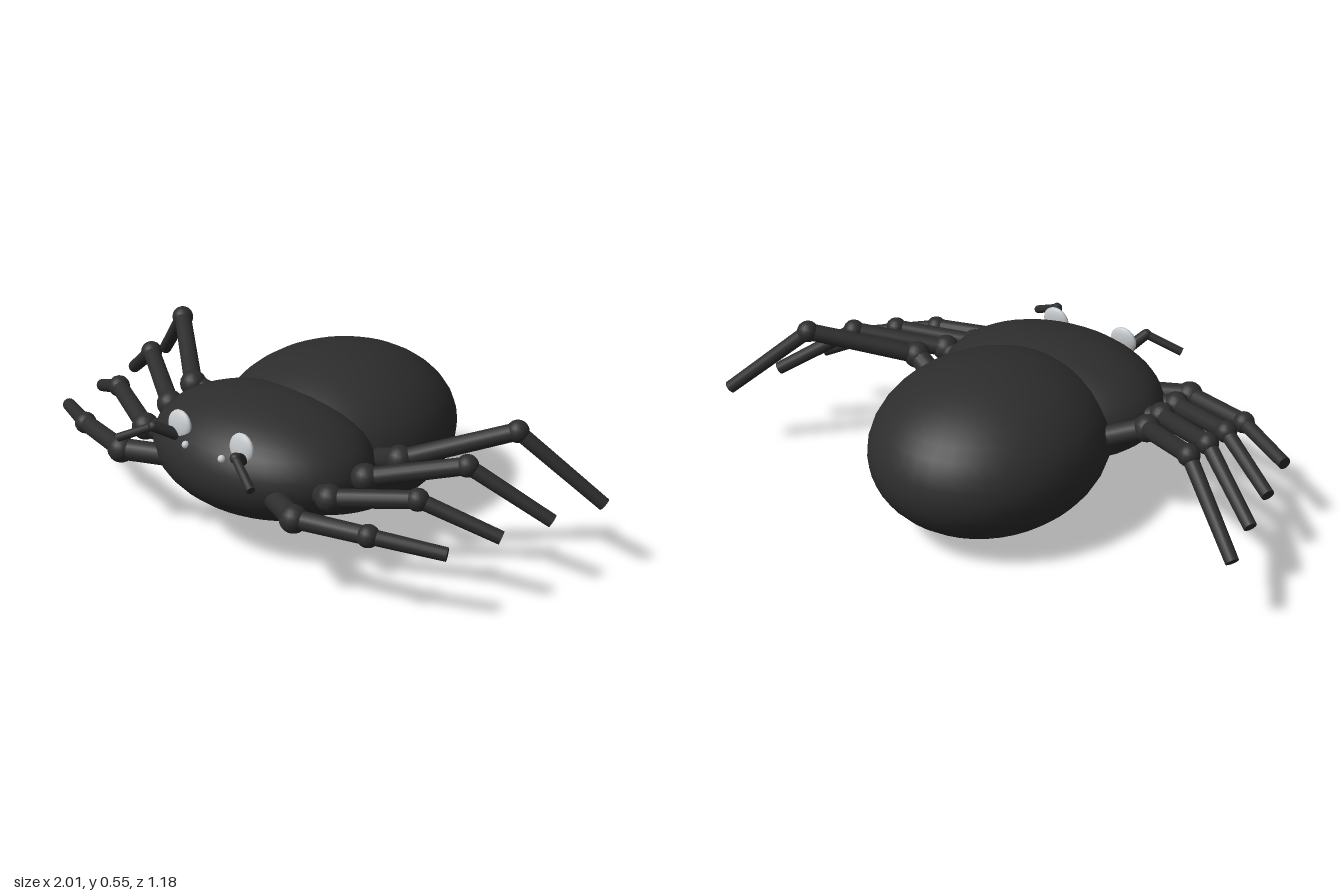
import * as THREE from 'three';

const black = new THREE.MeshStandardMaterial({ color: 0x2d2d2d });
black.name = 'body black';
const pale = new THREE.MeshStandardMaterial({ color: 0xc6cacd });
pale.name = 'eye grey';

// Ellipsoid with given centre and radii
function ellipsoid(name, center, radii, material, segments = 32) {
  const mesh = new THREE.Mesh(new THREE.SphereGeometry(1, segments, segments / 2), material);
  mesh.name = name;
  mesh.position.set(...center);
  mesh.scale.set(...radii);
  return mesh;
}

// Cylinder running from point a to point b
function rod(name, a, b, ra, rb = ra) {
  const start = new THREE.Vector3(...a);
  const end = new THREE.Vector3(...b);
  const dir = end.clone().sub(start);
  const mesh = new THREE.Mesh(new THREE.CylinderGeometry(rb, ra, dir.length(), 16), black);
  mesh.name = name;
  mesh.position.copy(start).add(end).multiplyScalar(0.5);
  mesh.quaternion.setFromUnitVectors(new THREE.Vector3(0, 1, 0), dir.normalize());
  return mesh;
}

// hip root, first joint, knee, tip of the left legs, front to back
const LEGS = [
  [[0.23, 0.28, 0.41], [0.385, 0.28, 0.48], [0.63, 0.28, 0.415], [0.845, 0.248, 0.30]],
  [[0.27, 0.29, 0.29], [0.41, 0.31, 0.345], [0.665, 0.345, 0.225], [0.893, 0.245, 0.098]],
  [[0.28, 0.30, 0.16], [0.435, 0.34, 0.205], [0.703, 0.405, 0.033], [0.938, 0.245, -0.10]],
  [[0.30, 0.30, 0.015], [0.46, 0.365, 0.07], [0.745, 0.47, -0.163], [0.988, 0.245, -0.305]],
];

const mirrored = (p, side) => [p[0] * side, p[1], p[2]];

export function createModel() {
  const model = new THREE.Group();
  model.name = 'spider';

  // Body
  model.add(ellipsoid('abdomen', [0, 0.278, -0.15], [0.382, 0.275, 0.44], black, 40));
  model.add(ellipsoid('head', [0, 0.31, 0.21], [0.408, 0.2, 0.302], black, 40));

  for (const side of [1, -1]) {
    const label = side > 0 ? 'left' : 'right';

    // Legs
    LEGS.forEach((points, i) => {
      const [root, hip, knee, tip] = points.map((p) => mirrored(p, side));
      const leg = new THREE.Group();
      leg.name = `${label} leg ${i + 1}`;
      leg.add(
        rod('hip segment', root, hip, 0.036),
        ellipsoid('hip joint', hip, [0.046, 0.046, 0.046], black, 20),
        rod('upper leg', hip, knee, 0.031, 0.029),
        ellipsoid('knee joint', knee, [0.037, 0.037, 0.037], black, 20),
        rod('lower leg', knee, tip, 0.025, 0.022),
      );
      model.add(leg);
    });

    // Eyes
    const eye = ellipsoid(`${label} large eye`, [0.137 * side, 0.43, 0.449], [0.05, 0.05, 0.017], pale, 20);
    eye.rotation.x = -0.1;
    model.add(eye);
    model.add(ellipsoid(`${label} small eye`, [0.08 * side, 0.387, 0.481], [0.013, 0.013, 0.013], pale, 12));

    // Feelers
    const [base, elbow, end] = [[0.145, 0.395, 0.455], [0.182, 0.435, 0.523], [0.295, 0.378, 0.573]]
      .map((p) => mirrored(p, side));
    const feeler = new THREE.Group();
    feeler.name = `${label} feeler`;
    feeler.add(
      rod('feeler base', base, elbow, 0.02, 0.018),
      ellipsoid('feeler joint', elbow, [0.018, 0.018, 0.018], black, 16),
      rod('feeler tip', elbow, end, 0.014),
    );
    model.add(feeler);
  }
  return model;
}
